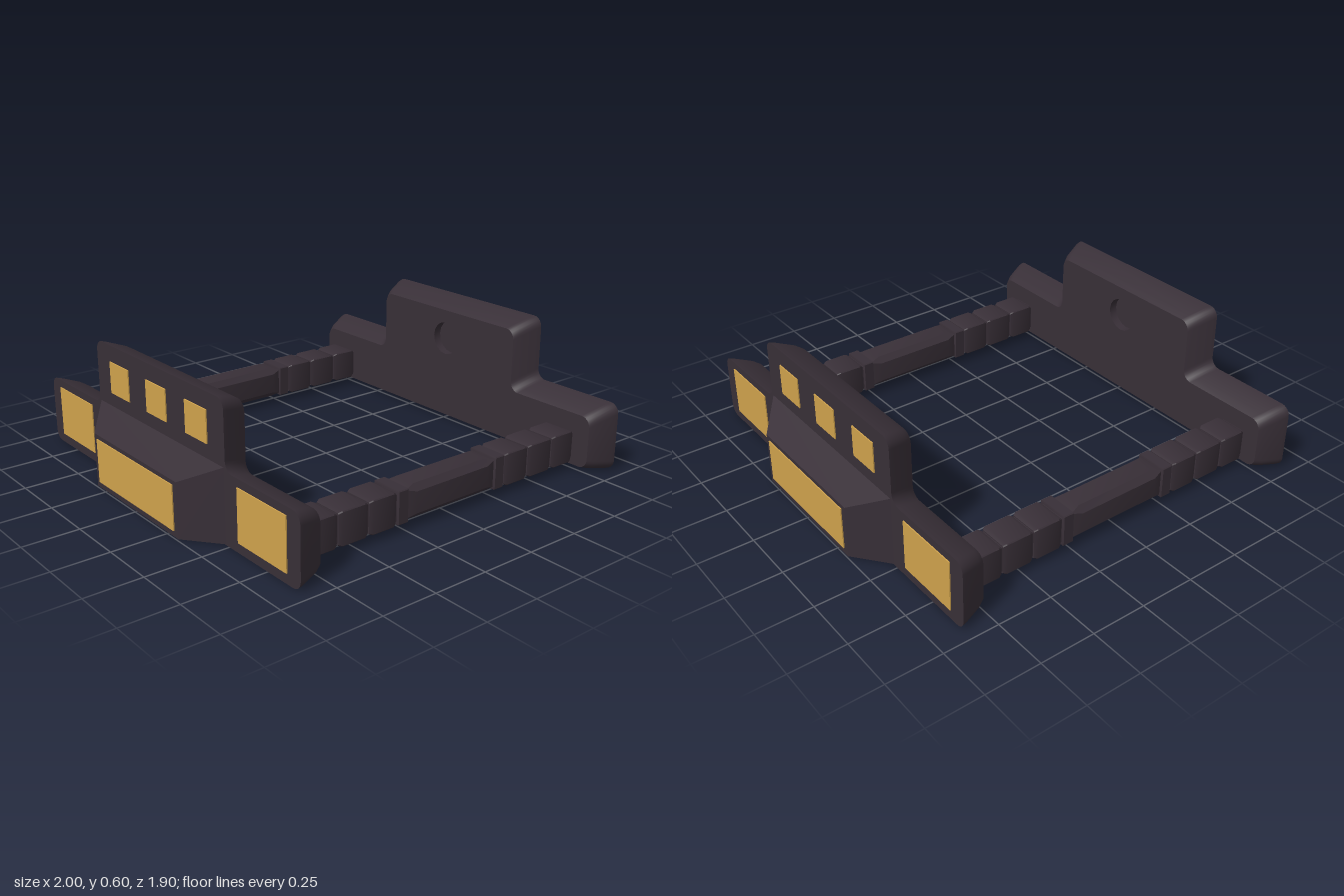
import * as THREE from 'three';
import { toCreasedNormals } from 'three/addons/utils/BufferGeometryUtils.js';

// Rings are counter-clockwise lists of [z, y], stacked along increasing x.
function loft(xs, rings, { capStart = true, capEnd = true, hole = [] } = {}) {
  const pos = [];
  const put = (x, p) => pos.push(x, p[1], p[0]);
  for (let i = 0; i < xs.length - 1; i++) {
    const r0 = rings[i], r1 = rings[i + 1];
    for (let j = 0; j < r0.length; j++) {
      const k = (j + 1) % r0.length;
      put(xs[i], r0[j]); put(xs[i + 1], r1[k]); put(xs[i], r0[k]);
      put(xs[i], r0[j]); put(xs[i + 1], r1[j]); put(xs[i + 1], r1[k]);
    }
  }
  const cap = (x, ring, flip, inner) => {
    const v = (list) => list.map((p) => new THREE.Vector2(p[0], p[1]));
    const all = ring.concat(inner);
    for (const [a, b, c] of THREE.ShapeUtils.triangulateShape(v(ring), inner.length ? [v(inner)] : [])) {
      for (const n of flip ? [a, c, b] : [a, b, c]) put(x, all[n]);
    }
  };
  if (capStart) cap(xs[0], rings[0], false, hole);
  if (capEnd) cap(xs[xs.length - 1], rings[rings.length - 1], true, []);
  const g = new THREE.BufferGeometry();
  g.setAttribute('position', new THREE.Float32BufferAttribute(pos, 3));
  return toCreasedNormals(g, 0.5);
}

function arc(cz, cy, r, from, to, n = 6) {
  return Array.from({ length: n + 1 }, (_, i) => {
    const a = THREE.MathUtils.degToRad(from + (to - from) * i / n);
    return [cz + r * Math.cos(a), cy + r * Math.sin(a)];
  });
}

// Stepped side outline with rounded corners, shrunk by d
function plateOutline(d) {
  const r = 0.045, a = 0.95 - d, c = 0.485 - d, b = d * 0.4, h = 0.31 - d, t = 0.6 - d;
  return [
    ...arc(a - r, b + r, r, -90, 0), ...arc(a - r, h - r, r, 0, 90),
    ...arc(c + r, h + r, r, 270, 180), ...arc(c - r, t - r, r, 0, 90),
    ...arc(-c + r, t - r, r, 90, 180), ...arc(-c - r, h + r, r, 0, -90),
    ...arc(-a + r, h - r, r, 90, 180), ...arc(-a + r, b + r, r, 180, 270),
  ];
}

const rect = (z, y0, y1) => [[-z, y0], [z, y0], [z, y1], [-z, y1]];

// Square bar section of half-size s with corners cut by c
function barSection(s, c) {
  const k = s - c, y = 0.11;
  return [[-k, y - s], [k, y - s], [s, y - k], [s, y + k], [k, y + s], [-k, y + s], [-s, y + k], [-s, y - k]];
}

export function createModel() {
  const model = new THREE.Group();
  const dark = new THREE.MeshStandardMaterial({ color: 0x382f37 });
  const gold = new THREE.MeshStandardMaterial({ color: 0xcfa24c });
  dark.name = 'dark plum';
  gold.name = 'gold';
  const add = (parent, name, geometry, material) => {
    const m = new THREE.Mesh(geometry, material);
    m.name = name;
    parent.add(m);
    return m;
  };

  for (const side of ['left', 'right']) {
    const g = new THREE.Group();
    g.name = side + 'Side';
    if (side === 'right') g.rotation.y = Math.PI;
    model.add(g);

    // Side plate, bevelled towards the inside, with a round recess
    const hole = arc(0, 0.41, 0.08, 0, 337.5, 15);
    add(g, 'sidePlate', loft([0.745, 0.775, 0.855, 0.874],
      [0.05, 0.032, 0.004, 0].map(plateOutline), { hole }), dark);
    const ring = hole.slice().reverse();
    add(g, 'recessWall', loft([0.745, 0.785], [ring, ring], { capStart: false, capEnd: false }), dark);
    const floor = add(g, 'recessFloor', new THREE.CircleGeometry(0.08, 16), dark);
    floor.position.set(0.785, 0.41, 0);
    floor.rotation.y = -Math.PI / 2;

    // Tapered outer housing
    add(g, 'outerHousing', loft([0.865, 0.995],
      [rect(0.487, 0.003, 0.33), rect(0.325, 0.003, 0.245)]), dark);

    // Gold panels: [name, x, z, y, width, height]
    const panels = [['housingPanel', 0.996, 0, 0.128, 0.6, 0.197]];
    for (const s of [-1, 1]) panels.push(['endPanel', 0.875, s * 0.718, 0.16, 0.306, 0.23]);
    for (const z of [-0.295, 0, 0.295]) panels.push(['upperPanel', 0.875, z, 0.457, 0.153, 0.14]);
    for (const [name, x, z, y, w, h] of panels) {
      add(g, name, new THREE.BoxGeometry(0.008, h, w), gold).position.set(x, y, z);
    }
  }

  for (const [name, z] of [['frontBar', 0.75], ['backBar', -0.755]]) {
    const bar = new THREE.Group();
    bar.name = name;
    bar.position.z = z;
    model.add(bar);

    // Core rod and chamfered middle grip
    add(bar, 'rod', loft([-0.76, 0.76], [barSection(0.062, 0.004), barSection(0.062, 0.004)]), dark);
    add(bar, 'grip', loft([-0.242, -0.2, 0.2, 0.242],
      [[0.064, 0.004], [0.074, 0.026], [0.074, 0.026], [0.064, 0.004]].map((p) => barSection(...p))), dark);

    // Square blocks with slightly chamfered ends
    for (const s of [-1, 1]) {
      for (const [x0, x1, e] of [[0.243, 0.297, 0.003], [0.305, 0.442, 0.016], [0.45, 0.594, 0.016], [0.602, 0.736, 0.016]]) {
        const xs = [x0, x0 + e, x1 - e, x1].map((x) => x * s);
        if (s < 0) xs.reverse();
        add(bar, 'block', loft(xs,
          [0.067, 0.074, 0.074, 0.067].map((h) => barSection(h, 0.004))), dark);
      }
    }
  }
  return model;
}
